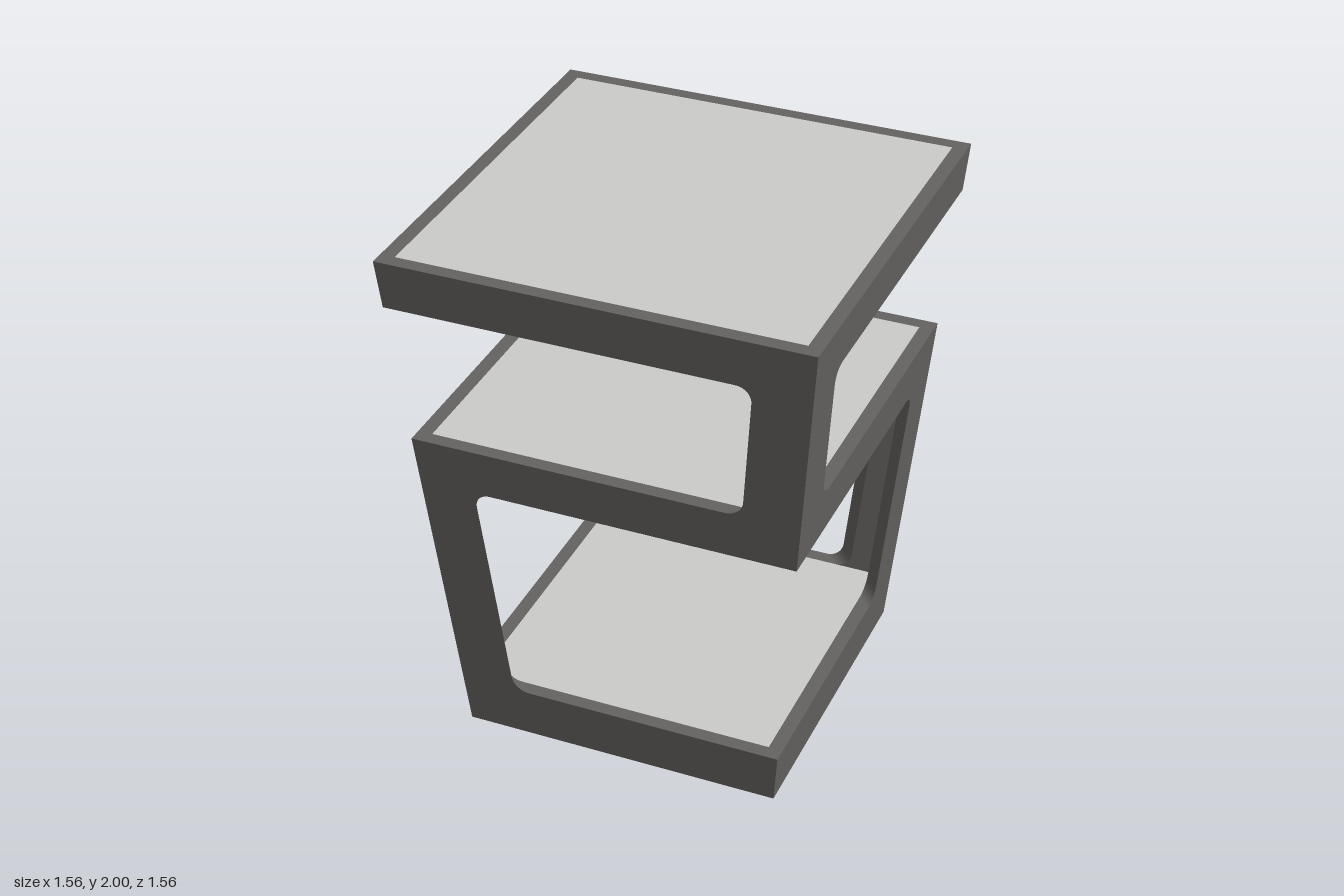
import * as THREE from 'three';
import { toCreasedNormals } from 'three/addons/utils/BufferGeometryUtils.js';

const T = 0.053;      // wall thickness
const LEG = 0.207;    // leg width on each face
const R = 0.06;       // fillet radius where legs meet the bands
const PLATE = 0.07;   // shelf plate thickness
const halfWidth = (y) => 0.6 + 0.09 * y; // the frame widens upwards

// Skin between closed loops of points, each loop clockwise as seen from above
function loft(loops) {
  const pos = [];
  for (let k = 0; k < loops.length - 1; k++) {
    const lo = loops[k], hi = loops[k + 1], n = lo.length;
    for (let i = 0; i < n; i++) {
      const j = (i + 1) % n;
      pos.push(...lo[i], ...hi[i], ...hi[j], ...lo[i], ...hi[j], ...lo[j]);
    }
  }
  const geo = new THREE.BufferGeometry();
  geo.setAttribute('position', new THREE.Float32BufferAttribute(pos, 3));
  return toCreasedNormals(geo, 0.5);
}

const square = (s, y) => [[s, y, s], [-s, y, s], [-s, y, -s], [s, y, -s]];

// Hollow square band
function bandGeometry(y0, y1) {
  const a = halfWidth(y0), b = halfWidth(y1);
  return loft([square(a, y0), square(b, y1), square(b - T, y1), square(a - T, y0), square(a, y0)]);
}

// Angle-section leg at the +x +z corner, with bevelled edges and filleted ends
function legGeometry(y0, y1) {
  const steps = 8, ends = [];
  for (let i = 0; i <= steps; i++) {
    const q = (i / steps) * Math.PI / 2;
    ends.push({ d: R * (1 - Math.cos(q)), extra: R * (1 - Math.sin(q)) });
  }
  const levels = [
    ...ends.map((e) => ({ y: y0 + e.d, extra: e.extra })),
    ...ends.map((e) => ({ y: y1 - e.d, extra: e.extra })).reverse(),
  ];
  return loft(levels.map(({ y, extra }) => {
    const w = halfWidth(y), L = LEG + extra;
    return [[0, 0], [L, 0], [L - T, T], [T, T], [T, L - T], [0, L]]
      .map(([a, b]) => [w - a, y, w - b]);
  }));
}

// Solid tapered plate filling a band, flush with its top
function plateGeometry(y1) {
  const y0 = y1 - PLATE;
  const radius = (y) => (halfWidth(y) - T) * Math.SQRT2;
  const geo = new THREE.CylinderGeometry(radius(y1), radius(y0), PLATE, 4).toNonIndexed();
  geo.rotateY(Math.PI / 4).translate(0, (y0 + y1) / 2, 0);
  geo.computeVertexNormals();
  return geo;
}

export function createModel() {
  const model = new THREE.Group();
  model.name = 'tieredSideTable';
  const frame = new THREE.MeshStandardMaterial({ color: 0x656361 });
  frame.name = 'darkGreyFrame';
  const top = new THREE.MeshStandardMaterial({ color: 0xcccbc9 });
  top.name = 'lightGreyShelf';

  const add = (name, geo, mat) => {
    const mesh = new THREE.Mesh(geo, mat);
    mesh.name = name;
    model.add(mesh);
    return mesh;
  };

  // Three shelves, each a band with a plate set into it
  for (const [name, y0, y1] of [['lower', 0, 0.2], ['middle', 1.1, 1.28], ['upper', 1.82, 2]]) {
    add(name + 'Band', bandGeometry(y0, y1), frame);
    add(name + 'Shelf', plateGeometry(y1), top);
  }

  // Two legs per tier on opposite corners, alternating between the tiers
  const lower = legGeometry(0.2, 1.1), upper = legGeometry(1.28, 1.82);
  for (const turn of [0, Math.PI]) {
    add(turn ? 'upperBackRightLeg' : 'upperFrontLeftLeg', upper, frame).rotation.y = turn;
    add(turn ? 'lowerFrontRightLeg' : 'lowerBackLeftLeg', lower, frame).rotation.y = turn + Math.PI / 2;
  }
  return model;
}
